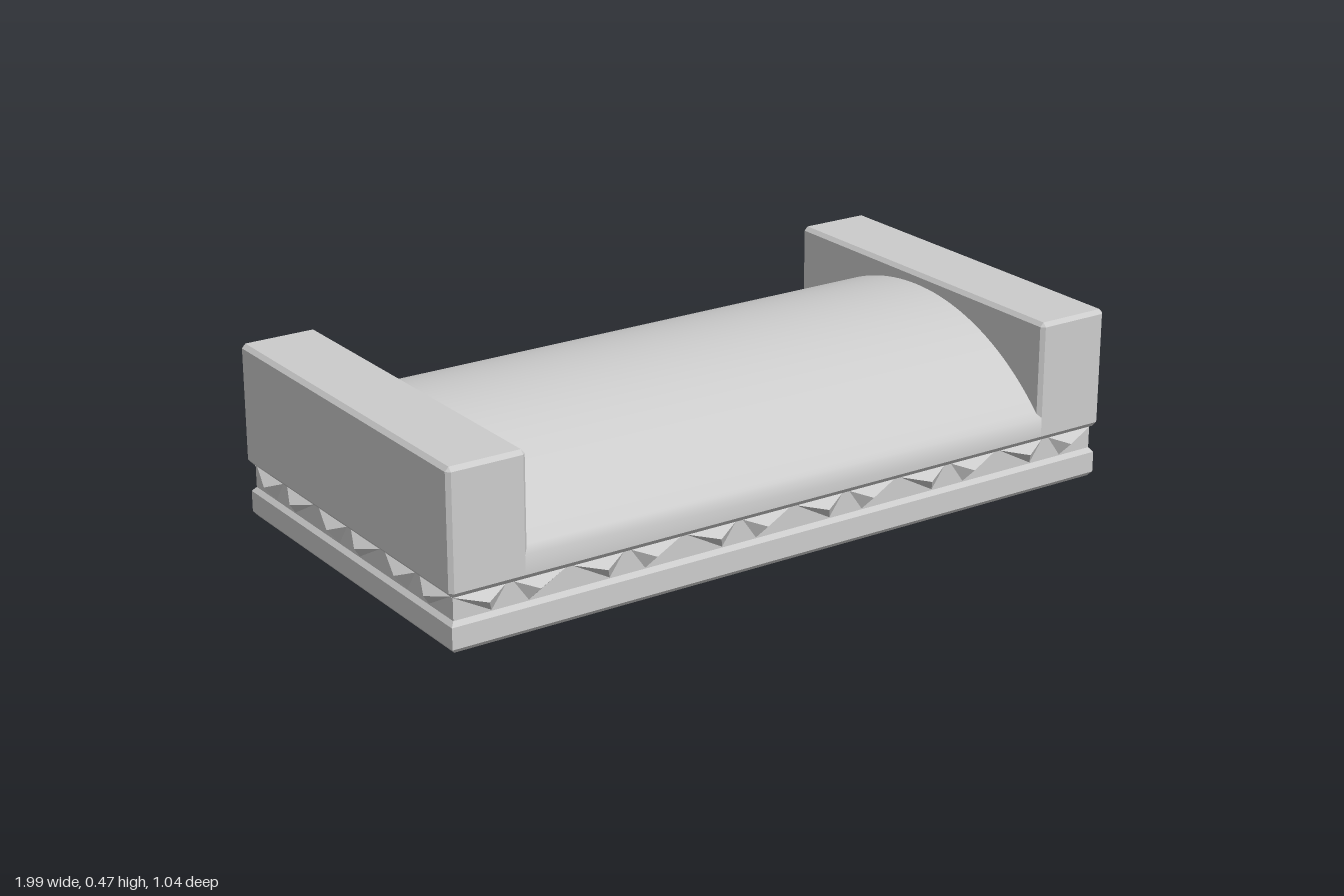
import * as THREE from 'three';
import { toCreasedNormals } from 'three/addons/utils/BufferGeometryUtils.js';
import { ConvexGeometry } from 'three/addons/geometries/ConvexGeometry.js';

const stone = new THREE.MeshStandardMaterial({ color: 0xcccccc, side: THREE.DoubleSide });
const HOLE_X = 0.77, HOLE_Z = 0.3, HOLE_TOP = 0.14;

function add(parent, name, geometry) {
  const mesh = new THREE.Mesh(geometry, stone);
  mesh.name = name;
  parent.add(mesh);
  return mesh;
}

// Flat-faced skin joining a series of matching cross-sections
function skin(sections, closed) {
  const points = [];
  for (let s = 0; s + 1 < sections.length; s++) {
    const p = sections[s], q = sections[s + 1], n = p.length;
    for (let i = 0; i < (closed ? n : n - 1); i++) {
      const j = (i + 1) % n;
      points.push(p[i], p[j], q[j], p[i], q[j], q[i]);
    }
  }
  const g = new THREE.BufferGeometry().setFromPoints(points);
  g.computeVertexNormals();
  return g;
}

// Level rectangle of half sizes hx, hz with its corners cut by c
function rectangle([hx, hz, y, c = 0]) {
  return [
    [c - hx, hz], [hx - c, hz], [hx, hz - c], [hx, c - hz],
    [hx - c, -hz], [c - hx, -hz], [-hx, c - hz], [-hx, hz - c],
  ].map(([x, z]) => new THREE.Vector3(x, y, z));
}

// Points [z, y] of an arc from front foot to back foot
function arc(halfSpan, foot, crown, steps) {
  const rise = crown - foot;
  const r = (halfSpan * halfSpan + rise * rise) / (2 * rise);
  const sweep = Math.asin(halfSpan / r);
  return Array.from({ length: steps + 1 }, (_, i) => {
    const t = sweep * (1 - 2 * i / steps);
    return [r * Math.sin(t), crown - r + r * Math.cos(t)];
  });
}

// Curved sheet following a [z, y] profile from one x to another
function sheet(profile, x0, x1) {
  const at = (x) => profile.map(([z, y]) => new THREE.Vector3(x, y, z));
  return toCreasedNormals(skin([at(x0), at(x1)], false), 0.8);
}

// Small inverted pyramid of the frieze, leaning towards one side
function tooth(side) {
  return new ConvexGeometry([
    new THREE.Vector3(side * 0.008, 0.14, 0),
    new THREE.Vector3(side * 0.158, 0.14, 0),
    new THREE.Vector3(side * 0.05, 0.081, 0),
    new THREE.Vector3(side * 0.07, 0.115, 0.026),
  ]);
}

export function createModel() {
  const model = new THREE.Group();
  model.name = 'vaultedLid';

  // Hollow base: inner wall, underside, plinth, frieze band and cornice
  add(model, 'base', skin([
    [HOLE_X, HOLE_Z, HOLE_TOP],
    [HOLE_X, HOLE_Z, 0],
    [0.97, 0.496, 0],
    [0.98, 0.506, 0.012],
    [0.98, 0.506, 0.068],
    [0.97, 0.496, 0.08],
    [0.97, 0.496, 0.142],
    [0.974, 0.503, 0.142],
    [0.986, 0.515, 0.156, 0.01],
  ].map(rectangle), true));

  // Curved roof with a vertical foot, and the hollow below it
  const roof = [[0.515, 0.156], ...arc(0.515, 0.208, 0.435, 48), [-0.515, 0.156]];
  add(model, 'barrelVault', sheet(roof, 0.785, -0.785));
  const hollow = arc(HOLE_Z, HOLE_TOP, 0.25, 32);
  add(model, 'innerVault', sheet(hollow, -HOLE_X, HOLE_X));

  // End blocks and the arched walls closing the hollow
  const block = skin([
    [0.1055, 0.515, 0.156, 0.01],
    [0.1055, 0.515, 0.456, 0.01],
    [0.0955, 0.505, 0.467],
    [0, 0, 0.467],
  ].map(rectangle), true);
  const wall = new THREE.ShapeGeometry(
    new THREE.Shape(hollow.map(([z, y]) => new THREE.Vector2(z, y))));
  for (const s of [-1, 1]) {
    const side = s > 0 ? 'left' : 'right';
    add(model, side + 'EndBlock', block).position.x = s * 0.8805;
    const inner = add(model, side + 'InnerWall', wall);
    inner.position.x = s * HOLE_X;
    inner.rotation.y = -s * Math.PI / 2;
  }

  // Paired teeth running round the frieze
  const frieze = new THREE.Group();
  frieze.name = 'frieze';
  model.add(frieze);
  const teeth = [tooth(-1), tooth(1)];
  for (let side = 0; side < 4; side++) {
    const long = side % 2 === 0;
    const count = long ? 6 : 3, length = long ? 1.96 : 1.0;
    const row = new THREE.Group();
    row.name = 'friezeRow';
    row.rotation.y = side * Math.PI / 2;
    frieze.add(row);
    for (let i = 0; i < count; i++) {
      const along = ((i + 0.5) / count - 0.5) * length;
      for (const g of teeth) {
        add(row, 'friezeTooth', g).position.set(along, 0, long ? 0.495 : 0.969);
      }
    }
  }
  return model;
}
